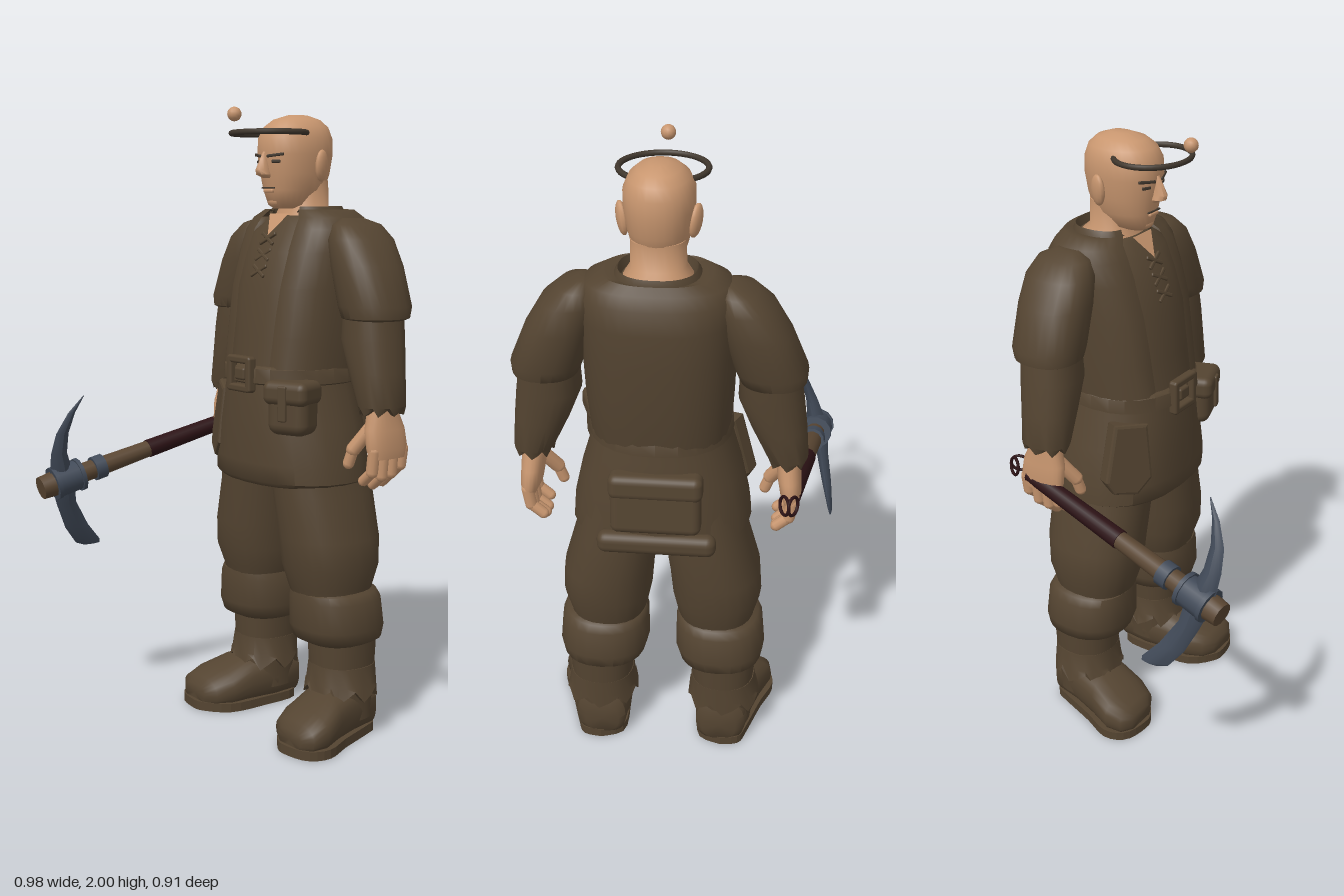
import * as THREE from 'three';
import { toCreasedNormals } from 'three/addons/utils/BufferGeometryUtils.js';
import { RoundedBoxGeometry } from 'three/addons/geometries/RoundedBoxGeometry.js';

const mat = (name, color, side = THREE.FrontSide) => {
  const m = new THREE.MeshStandardMaterial({ color, side });
  m.name = name;
  return m;
};
const cloth = mat('brown cloth', 0x544431, THREE.DoubleSide);
const skin = mat('skin', 0xc8966f);
const dark = mat('dark brown', 0x40372d);
const grip = mat('dark red leather', 0x2c1215);
const wood = mat('wood', 0x5a4632);
const steel = mat('blue steel', 0x414a58);

// Stacked superellipse rings, rows = [y, cx, cz, rx, rz] from bottom to top
function loft(rows, { n = 2.3, seg = 24, gap = 0, jag = 0, crease = 0.9 } = {}) {
  const pos = [], idx = [], cols = seg + (gap ? 1 : 0);
  const pw = v => Math.sign(v) * Math.abs(v) ** (2 / n);
  rows.forEach(([y, cx, cz, rx, rz], i) => {
    for (let j = 0; j < cols; j++) {
      const a = gap + (j / seg) * (2 * Math.PI - 2 * gap);
      const k = gap && (j === 0 || j === seg) ? 0.94 : 1;
      const dy = i === 0 ? jag * ((j * 7) % 3 - 1) : 0;
      pos.push(cx + rx * k * pw(Math.sin(a)), y + dy, cz + rz * k * pw(Math.cos(a)));
    }
  });
  for (let i = 0; i < rows.length - 1; i++) {
    for (let j = 0; j < seg; j++) {
      const a = i * cols + j, b = i * cols + (j + 1) % cols;
      idx.push(a, b, a + cols, b, b + cols, a + cols);
    }
  }
  if (!gap) {
    for (const top of [false, true]) {
      const r = rows[top ? rows.length - 1 : 0], c = pos.length / 3, base = top ? (rows.length - 1) * cols : 0;
      pos.push(r[1], r[0], r[2]);
      for (let j = 0; j < seg; j++) {
        const a = base + j, b = base + (j + 1) % seg;
        idx.push(c, top ? a : b, top ? b : a);
      }
    }
  }
  const g = new THREE.BufferGeometry();
  g.setAttribute('position', new THREE.Float32BufferAttribute(pos, 3));
  g.setIndex(idx);
  return toCreasedNormals(g, crease);
}

function add(parent, name, geo, material, p = [0, 0, 0], r = [0, 0, 0], s = [1, 1, 1]) {
  const m = new THREE.Mesh(geo, material);
  m.name = name;
  m.position.set(...p);
  m.rotation.set(...r);
  m.scale.set(...s);
  parent.add(m);
  return m;
}

// Cylinder or capsule between two points
function rod(parent, name, a, b, r1, r2, material, round = false) {
  const A = new THREE.Vector3(...a), B = new THREE.Vector3(...b), d = B.clone().sub(A), L = d.length();
  const g = round ? new THREE.CapsuleGeometry(r1, L, 4, 10) : new THREE.CylinderGeometry(r2, r1, L, 12);
  const m = add(parent, name, g, material, A.clone().add(B).multiplyScalar(0.5).toArray());
  m.quaternion.setFromUnitVectors(new THREE.Vector3(0, 1, 0), d.normalize());
  return m;
}

const box = (w, h, d, r = 0.02) => new RoundedBoxGeometry(w, h, d, 3, r);
const side = (s, rows) => rows.map(([y, cx, ...rest]) => [y, cx * s, ...rest]);

function addHead(body) {
  add(body, 'neck', loft([[1.62, 0, -.26, .11, .1], [1.67, 0, -.265, .1, .095], [1.7, 0, -.255, .08, .07],
    [1.78, 0, -.255, .078, .068]]), skin);
  add(body, 'head', loft([[1.693, 0, -.185, .03, .045], [1.705, 0, -.2, .055, .078], [1.75, 0, -.212, .08, .102],
    [1.8, 0, -.216, .091, .116], [1.86, 0, -.216, .1, .125], [1.91, 0, -.216, .1, .123], [1.945, 0, -.219, .085, .108],
    [1.968, 0, -.222, .06, .08], [1.982, 0, -.225, .025, .035]], { n: 2.2, seg: 28, crease: 1.4 }), skin);
  add(body, 'nose', loft([[1.787, 0, -.108, .014, .015], [1.797, 0, -.092, .022, .026], [1.812, 0, -.088, .017, .028],
    [1.845, 0, -.094, .01, .018], [1.868, 0, -.1, .008, .012]], { n: 2, seg: 10 }), skin);
  add(body, 'chin', new THREE.SphereGeometry(.03, 12, 8), skin, [0, 1.716, -.142], [0, 0, 0], [1.2, .7, .8]);
  add(body, 'mouth', box(.06, .005, .008, .002), dark, [0, 1.757, -.109]);
  add(body, 'lowerLip', box(.045, .012, .014, .005), skin, [0, 1.748, -.112]);
  for (const s of [1, -1]) {
    add(body, 'brow', box(.06, .009, .008, .003), dark, [s * .043, 1.857, -.102], [0, s * .4, s * .1]);
    add(body, 'eye', box(.03, .01, .008, .003), dark, [s * .042, 1.838, -.106], [0, s * .4, 0]);
    add(body, 'ear', new THREE.SphereGeometry(.05, 12, 10), skin, [s * .102, 1.825, -.24], [.15, s * .35, s * -.15], [.32, 1, .6]);
  }
  // Floating ring and ball
  add(body, 'halo', new THREE.TorusGeometry(.127, .009, 8, 40), dark, [0, 1.925, -.11], [Math.PI / 2, 0, 0], [1, .88, 1]);
  add(body, 'floatingBall', new THREE.SphereGeometry(.022, 12, 10), skin, [0, 1.978, .024]);
}

function addClothes(body) {
  add(body, 'shirt', loft([[1.14, 0, -.2, .195, .185], [1.3, 0, -.22, .2, .185], [1.45, 0, -.235, .205, .18],
    [1.56, 0, -.255, .205, .165], [1.62, 0, -.265, .19, .14], [1.66, 0, -.267, .13, .11], [1.672, 0, -.267, .1, .1]]), cloth);
  add(body, 'vest', loft([[1.17, 0, -.205, .21, .195], [1.3, 0, -.225, .218, .197], [1.45, 0, -.24, .222, .19],
    [1.56, 0, -.26, .224, .175], [1.63, 0, -.27, .222, .155], [1.665, 0, -.272, .205, .132], [1.69, 0, -.275, .155, .115],
    [1.68, 0, -.27, .11, .1]], { gap: .42, n: 2.5, seg: 32 }), cloth);
  add(body, 'collar', loft([[1.63, 0, -.265, .135, .115], [1.685, 0, -.268, .122, .108], [1.7, 0, -.27, .112, .1],
    [1.66, 0, -.268, .1, .092]], { gap: .55 }), cloth);
  add(body, 'neckSkin', new THREE.CircleGeometry(.055, 3), skin, [0, 1.655, -.138], [-.6, 0, -Math.PI / 2]);
  // Laces down the shirt
  for (let i = 0; i < 3; i++) for (const s of [1, -1])
    add(body, 'lace', box(.075, .012, .01, .004), cloth, [0, 1.6 - i * .05, -.108 + i * .018], [-.35, 0, s * .5]);
  add(body, 'skirt', loft([[.83, 0, -.21, .25, .19], [.845, 0, -.212, .276, .207], [.9, 0, -.21, .272, .207],
    [1.02, 0, -.208, .245, .204], [1.12, 0, -.204, .215, .195], [1.18, 0, -.203, .2, .188]]), cloth);
  add(body, 'belt', loft([[1.15, 0, -.204, .207, .194], [1.155, 0, -.204, .217, .203], [1.2, 0, -.204, .214, .2],
    [1.207, 0, -.204, .204, .19]]), cloth);
  // Square buckle with a pin
  for (const s of [1, -1]) {
    add(body, 'buckleSide', box(.024, .11, .03, .008), cloth, [s * .048, 1.18, -.003]);
    add(body, 'buckleBar', box(.115, .024, .03, .008), cloth, [0, 1.18 + s * .045, -.003]);
  }
  add(body, 'bucklePin', box(.05, .04, .02, .008), cloth, [0, 1.18, -.003]);
  // Side pouch with flap
  const pouch = new THREE.Group();
  pouch.name = 'pouch';
  pouch.position.set(.18, 1.085, -.068);
  pouch.rotation.y = .35;
  add(pouch, 'pouchBag', box(.14, .165, .11, .035), cloth);
  add(pouch, 'pouchFlap', box(.155, .075, .125, .025), cloth, [0, .05, .004]);
  add(pouch, 'pouchStrap', box(.03, .11, .012, .005), cloth, [0, .02, .066]);
  body.add(pouch);
  // Slanted holster
  const h = new THREE.Shape([[-.04, .11], [.055, .09], [.05, -.08], [0, -.12], [-.07, -.1], [-.09, -.06]]
    .map(p => new THREE.Vector2(...p)));
  add(body, 'holster', new THREE.ExtrudeGeometry(h, { depth: .04, bevelSize: .01, bevelThickness: .01, bevelSegments: 2 }),
    cloth, [-.175, 1.01, -.1], [-.12, -.5, 0]);
  // Back pouch
  add(body, 'backPouch', box(.27, .18, .07, .025), cloth, [0, .99, -.405], [.08, 0, 0]);
  add(body, 'backPouchFlap', box(.28, .08, .075, .025), cloth, [0, 1.055, -.402], [.08, 0, 0]);
  add(body, 'backHem', box(.36, .07, .06, .028), cloth, [0, .85, -.405]);
}

function addArm(body, s) {
  add(body, 'upperSleeve', loft(side(s, [[1.355, .33, -.265, .075, .08], [1.365, .33, -.268, .098, .102],
    [1.4, .324, -.27, .106, .11], [1.52, .28, -.275, .1, .113], [1.6, .248, -.278, .084, .108], [1.645, .225, -.28, .055, .085],
    [1.665, .205, -.28, .02, .04]])), cloth);
  add(body, 'lowerSleeve', loft(side(s, [[1.085, .38, -.255, .056, .072], [1.1, .38, -.255, .062, .078],
    [1.2, .352, -.258, .082, .084], [1.3, .326, -.262, .096, .092], [1.41, .32, -.268, .085, .09]]), { jag: .012 }), cloth);
  add(body, 'palm', loft(side(s, [[.94, .4, -.265, .022, .07], [.97, .395, -.265, .032, .078], [1.03, .388, -.26, .036, .074],
    [1.08, .383, -.256, .036, .055], [1.13, .38, -.255, .04, .05]])), skin);
  // Curled fingers and thumb
  for (let i = 0; i < 4; i++) {
    const z = -.207 - i * .039, e = [.0, -.015, -.01, .012][i];
    rod(body, 'finger', [s * .4, .965, z], [s * .392, .9 + e, z], .019, .019, skin, true);
    rod(body, 'fingerTip', [s * .392, .9 + e, z], [s * .355, .868 + e, z], .017, .017, skin, true);
  }
  rod(body, 'thumb', [s * .37, 1.03, -.215], [s * .33, .965, -.185], .022, .022, skin, true);
  rod(body, 'thumbTip', [s * .33, .965, -.185], [s * .315, .92, -.18], .018, .018, skin, true);
}

function addLeg(body, s) {
  add(body, 'trouserLeg', loft(side(s, [[.45, .18, -.235, .11, .12], [.5, .173, -.235, .124, .134], [.57, .175, -.232, .141, .155],
    [.66, .168, -.232, .142, .163], [.8, .138, -.23, .132, .168], [.95, .12, -.22, .12, .165]])), cloth);
  add(body, 'kneeCuff', loft(side(s, [[.315, .192, -.255, .105, .11], [.33, .19, -.253, .134, .138], [.37, .188, -.25, .144, .148],
    [.46, .185, -.245, .139, .143], [.485, .182, -.24, .128, .135], [.495, .18, -.24, .1, .11]])), cloth);
  add(body, 'shin', loft(side(s, [[.1, .2, -.265, .09, .095], [.2, .2, -.265, .098, .102], [.35, .198, -.265, .108, .108]])), cloth);
  add(body, 'raggedCuff', loft(side(s, [[.15, .203, -.258, .118, .112], [.18, .202, -.262, .11, .108], [.24, .2, -.265, .103, .104]]),
    { jag: .02 }), cloth);
  // Boot, lofted from heel to toe
  const boot = loft(side(s, [[-.365, .195, -.08, .055, .055], [-.35, .198, -.09, .08, .082], [-.25, .205, -.09, .095, .085],
    [-.16, .225, -.082, .102, .08], [-.08, .245, -.065, .113, .063], [-.025, .255, -.055, .095, .048],
    [0, .258, -.05, .055, .03]]), { n: 2.6 });
  boot.rotateX(Math.PI / 2);
  add(body, 'boot', boot, cloth);
  add(body, 'ankle', loft(side(s, [[.06, .203, -.262, .092, .1], [.16, .202, -.262, .095, .102]])), cloth);
  const outline = new THREE.Shape();
  outline.setFromPoints(new THREE.SplineCurve([[.2, -.368], [.125, -.33], [.12, -.2], [.132, -.07], [.2, .0], [.255, .012],
    [.335, -.01], [.364, -.08], [.325, -.18], [.285, -.3], [.26, -.355], [.2, -.368]]
    .map(([x, z]) => new THREE.Vector2(s * x, -z))).getPoints(36));
  const sole = new THREE.ExtrudeGeometry(outline, { depth: .03, bevelEnabled: false });
  sole.rotateX(-Math.PI / 2);
  add(body, 'sole', sole, cloth);
}

function createPickaxe() {
  const pick = new THREE.Group();
  pick.name = 'pickaxe';
  const a = new THREE.Vector3(-.345, .985, -.36), b = new THREE.Vector3(-.435, .785, .455);
  const at = t => a.clone().lerp(b, t).toArray();
  const part = (name, t0, t1, r0, r1, m) => rod(pick, name, at(t0), at(t1), r0, r1, m);
  part('handle', .45, .99, .027, .036, wood);
  part('grip', .06, .52, .026, .031, grip);
  part('handleBand', .725, .77, .041, .041, steel);
  part('handleEnd', .93, 1, .043, .038, wood);
  part('headSocket', .835, .945, .05, .052, steel);
  for (const t of [.835, .94]) part('socketRim', t - .008, t + .008, .056, .056, steel);
  // Point above, broad chisel below
  add(pick, 'blade', loft([[.555, -.487, .235, .006, .03], [.568, -.484, .252, .009, .047], [.63, -.47, .303, .016, .044],
    [.72, -.45, .352, .02, .037], [.81, -.43, .378, .034, .046], [.9, -.405, .402, .02, .03], [.97, -.38, .402, .013, .023],
    [1.04, -.355, .38, .008, .013], [1.095, -.334, .347, .002, .002]], { n: 1.4, seg: 12, crease: .5 }), steel);
  // Wrist strap loops
  for (const s of [1, -1])
    add(pick, 'strapLoop', new THREE.TorusGeometry(.028, .005, 6, 20), grip, [-.343 + s * .013, .985, -.37], [.3, Math.PI / 2 + s * .5, 0]);
  return pick;
}

export function createModel() {
  const model = new THREE.Group();
  model.name = 'miner';
  const body = new THREE.Group();
  body.name = 'body';
  body.position.x = .048;
  addHead(body);
  addClothes(body);
  for (const s of [1, -1]) {
    addArm(body, s);
    addLeg(body, s);
  }
  model.add(body, createPickaxe());
  return model;
}
